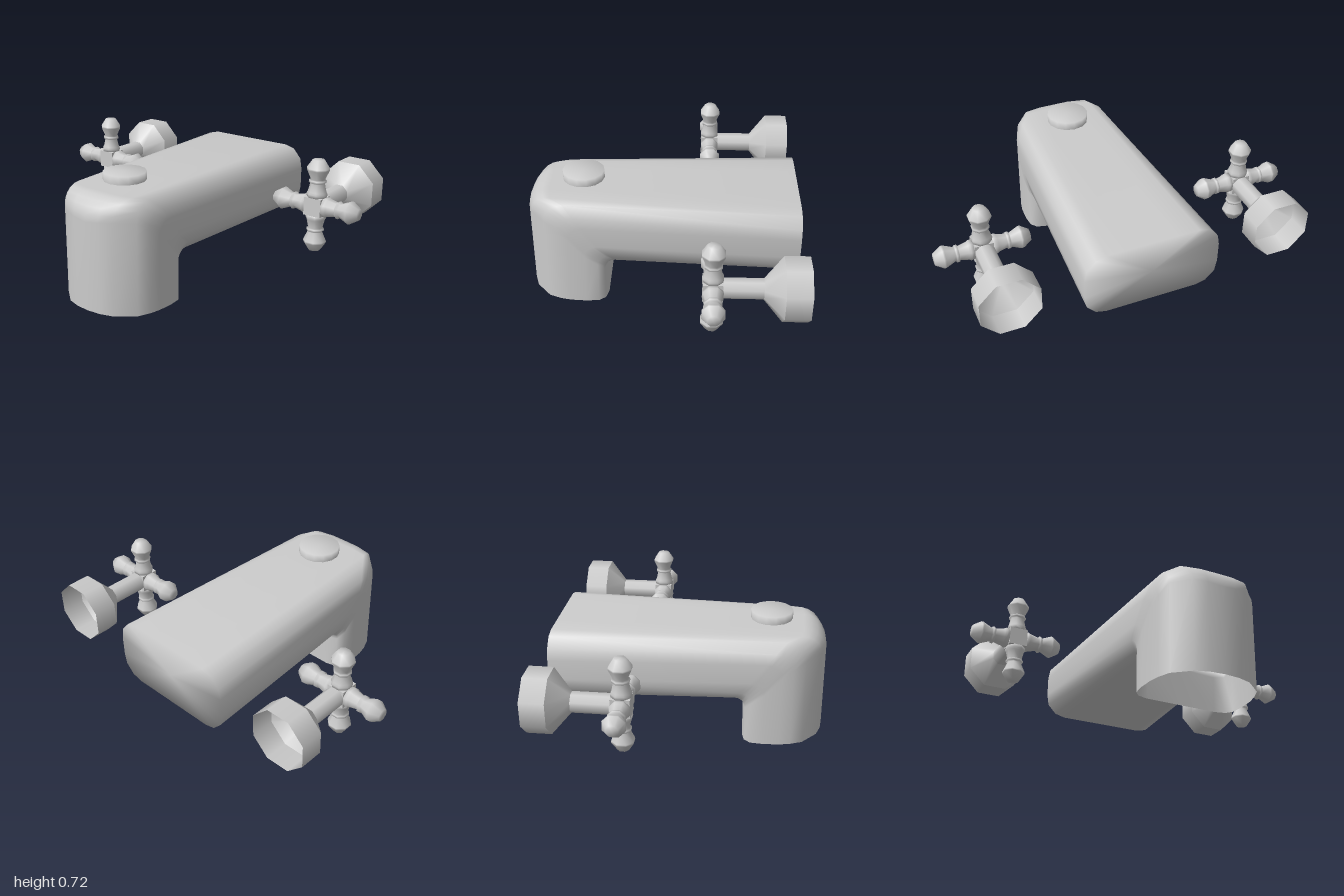
import * as THREE from 'three';

const material = new THREE.MeshStandardMaterial({ color: 0xcccccc, side: THREE.DoubleSide });

function add(parent, name, geometry) {
  const mesh = new THREE.Mesh(geometry, material);
  mesh.name = name;
  parent.add(mesh);
  return mesh;
}

// Turned part; radii are measured to the flats of the polygon
function turned(profile, sides) {
  const k = 1 / Math.cos(Math.PI / sides);
  const points = profile.map(([r, y]) => new THREE.Vector2(r * k, y));
  return new THREE.LatheGeometry(points, sides, Math.PI / sides);
}

// Spout: each ring point runs along the horizontal barrel, round the elbow and down
function spoutGeometry() {
  const barrel = [[0.62, 0], [0.62, 0.35], [0.62, 0.68], [0.605, 0.84], [0.55, 0.97], [0.49, 1],
    [0.38, 1], [0.315, 0.97], [0.265, 0.84], [0.25, 0.68], [0.25, 0]]; // y, z / half width
  const outlet = [[-0.745, 0], [-0.738, 0.08], [-0.715, 0.155], [-0.635, 0.25], [-0.57, 0.277], [-0.51, 0.29],
    [-0.42, 0.295], [-0.35, 0.288], [-0.315, 0.26], [-0.3, 0.2], [-0.3, 0]]; // x, z
  const last = barrel.length - 1;
  const count = last * 2;
  const elbowSteps = 5;
  const halfWidth = (x) => 0.37 - (0.74 - x) * 0.06;
  const stations = elbowSteps + 3;
  const positions = [];
  const index = [];

  for (let s = 0; s < stations; s++) {
    for (let i = 0; i < count; i++) {
      const j = i <= last ? i : count - i;
      const side = i <= last ? 1 : -1;
      const [y, zn] = barrel[j];
      const [x, zv] = outlet[j];
      const r = THREE.MathUtils.lerp(0.13, 0.04, j / last);
      const t = THREE.MathUtils.clamp((s - 1) / elbowSteps, 0, 1);
      const a = t * Math.PI / 2;
      let px = x + r * (1 - Math.sin(a));
      let py = y - r * (1 - Math.cos(a));
      let pz = THREE.MathUtils.lerp(zn * halfWidth(x + r), zv, t);
      if (s === 0) { px = 0.74; pz = zn * halfWidth(px); }
      if (s === stations - 1) py = 0;
      positions.push(px, py, pz * side);
    }
  }
  for (let s = 0; s < stations - 1; s++) {
    for (let i = 0; i < count; i++) {
      const n = (i + 1) % count;
      const a = s * count + i, b = a + count, c = s * count + n, d = c + count;
      index.push(a, b, c, c, b, d);
    }
  }
  // Closed wall end
  const center = positions.length / 3;
  positions.push(0.74, 0.435, 0);
  for (let i = 0; i < count; i++) index.push(center, i, (i + 1) % count);

  const geometry = new THREE.BufferGeometry();
  geometry.setAttribute('position', new THREE.Float32BufferAttribute(positions, 3));
  geometry.setIndex(index);
  geometry.computeVertexNormals();
  return geometry;
}

// Cross handle with its stem and octagonal wall flange, axis along x
function createHandle(name) {
  const handle = new THREE.Group();
  handle.name = name;
  add(handle, 'hub', new THREE.BoxGeometry(0.1, 0.1, 0.1));

  const arm = turned([[0.035, 0.04], [0.05, 0.05], [0.052, 0.068], [0.046, 0.078], [0.036, 0.125], [0.044, 0.13],
    [0.044, 0.142], [0.036, 0.148], [0.057, 0.2], [0.057, 0.21], [0.03, 0.255], [0, 0.255]], 8);
  for (let i = 0; i < 4; i++) add(handle, 'handleArm', arm).rotation.x = i * Math.PI / 2;

  const axial = {
    stem: [[0.05, 0.05], [0.05, 0.25]],
    flare: [[0.05, 0.25], [0.155, 0.345]],
    wallFlange: [[0.155, 0.345], [0.155, 0.473]],
  };
  for (const [part, profile] of Object.entries(axial)) {
    add(handle, part, turned(profile, 8)).rotation.z = -Math.PI / 2;
  }
  return handle;
}

export function createModel() {
  const model = new THREE.Group();
  model.name = 'wallTap';
  add(model, 'spout', spoutGeometry());

  // Diverter button above the nose
  const button = add(model, 'diverterButton', turned([[0.113, 0.64], [0.113, 0.685], [0, 0.685]], 14));
  button.position.x = -0.437;

  for (const side of [1, -1]) {
    const handle = createHandle(side > 0 ? 'frontHandle' : 'backHandle');
    handle.position.set(0.268, 0.465, side * 0.745);
    model.add(handle);
  }
  return model;
}
